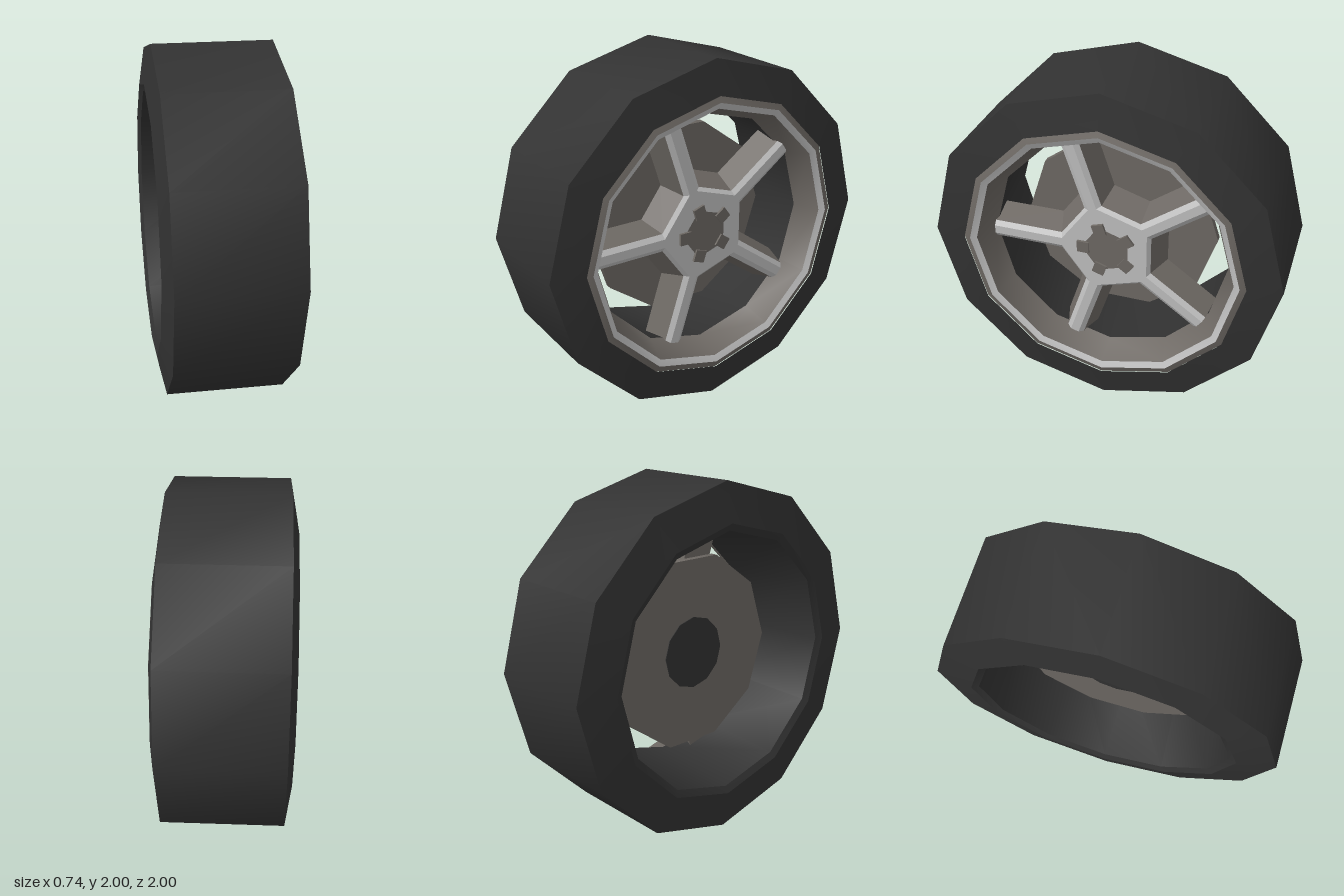
import * as THREE from 'three';
import { toCreasedNormals } from 'three/addons/utils/BufferGeometryUtils.js';

const material = (name, color) => {
  const m = new THREE.MeshStandardMaterial({ color });
  m.name = name;
  return m;
};

export function createModel() {
  const rubber = material('black rubber', 0x323232);
  const metal = material('dark metal', 0x6e6964);
  const alloy = material('bright alloy', 0xc0c0c0);

  const wheel = new THREE.Group();
  wheel.name = 'wheel';
  wheel.position.y = 1;
  const add = (name, geometry, mat) => {
    const mesh = new THREE.Mesh(geometry, mat);
    mesh.name = name;
    wheel.add(mesh);
    return mesh;
  };

  // Twelve-sided ring about the x axis; profile holds [x, radius] pairs
  const ring = (name, profile, mat) => {
    const g = new THREE.LatheGeometry(profile.map(([x, r]) => new THREE.Vector2(r, x)), 12);
    g.rotateZ(-Math.PI / 2);
    add(name, toCreasedNormals(g, 0.62), mat);
  };

  // Tyre with shoulders and the dark inside of the barrel
  ring('tyre', [[-0.35, 0.74], [-0.37, 0.78], [-0.33, 1], [0.33, 1], [0.365, 0.81]], rubber);
  ring('innerBarrel', [[0.2, 0.68], [-0.35, 0.74]], rubber);

  // Rim: outer lip, bright inner edge, sloping bowl
  ring('rimLip', [[0.355, 0.815], [0.37, 0.775]], metal);
  ring('rimEdge', [[0.37, 0.775], [0.352, 0.74]], alloy);
  ring('rimBowl', [[0.352, 0.74], [0.2, 0.68]], metal);

  // Brake disc and axle
  const drum = (name, radius, x0, x1, sides, mat) => {
    const g = new THREE.CylinderGeometry(radius, radius, x1 - x0, sides);
    g.rotateZ(-Math.PI / 2).translate((x0 + x1) / 2, 0, 0);
    add(name, g, mat);
  };
  drum('brakeDisc', 0.57, -0.07, -0.03, 10, metal);
  drum('axle', 0.21, -0.075, 0.09, 12, rubber);

  // Five-armed outline: hub edge distance, arm half width, arm length
  const star = (apothem, half, length = 0.675) => {
    const points = [];
    const a = Math.PI / 5;
    const start = (apothem - half * Math.sin(a)) / Math.cos(a);
    for (let i = 0; i < 5; i++) {
      const t = Math.PI + i * 2 * a;
      for (const [u, v] of [[start, -half], [length, -half], [length, half], [start, half]]) {
        points.push(new THREE.Vector2(u * Math.cos(t) - v * Math.sin(t), u * Math.sin(t) + v * Math.cos(t)));
      }
    }
    return points;
  };

  // Wall joining two outlines at different depths
  const wall = (name, back, x0, front, x1, mat) => {
    const pos = [];
    back.forEach((b, i) => {
      const j = (i + 1) % back.length;
      const c = back[j], f = front[i], g = front[j];
      pos.push(b.x, b.y, x0, c.x, c.y, x0, g.x, g.y, x1);
      pos.push(b.x, b.y, x0, g.x, g.y, x1, f.x, f.y, x1);
    });
    const geo = new THREE.BufferGeometry();
    geo.setAttribute('position', new THREE.Float32BufferAttribute(pos, 3));
    geo.computeVertexNormals();
    geo.rotateY(Math.PI / 2);
    add(name, geo, mat);
  };
  const cap = (name, outline, x, mat, flip = false) => {
    const g = new THREE.ShapeGeometry(new THREE.Shape(outline));
    if (flip) g.scale(-1, 1, 1).rotateY(Math.PI); // placeholder orientation handled by DoubleSide
    g.rotateY(Math.PI / 2).translate(x, 0, 0);
    add(name, g, mat);
  };

  // Spokes and hub: deep dark sides, bright bevel and face
  const base = star(0.31, 0.095), edge = star(0.25, 0.052), top = star(0.23, 0.025);
  wall('spokeSides', base, 0.08, edge, 0.225, metal);
  wall('spokeBevels', edge, 0.225, top, 0.245, alloy);
  cap('spokeFace', top, 0.245, alloy);
  const backGeo = new THREE.ShapeGeometry(new THREE.Shape(base.map((p) => new THREE.Vector2(-p.x, p.y))));
  backGeo.rotateY(-Math.PI / 2).translate(0.08, 0, 0);
  add('spokeBack', backGeo, metal);

  // Hub plate with five square nuts, one facing each spoke
  const angles = [0, 1, 2, 3, 4].map((i) => Math.PI + (i * 2 * Math.PI) / 5);
  cap('hubPlate', angles.map((t) => new THREE.Vector2(0.15 * Math.cos(t), 0.15 * Math.sin(t))), 0.249, metal);
  for (const t of angles) {
    const nut = add('wheelNut', new THREE.BoxGeometry(0.02, 0.07, 0.07), metal);
    nut.rotation.x = t;
    nut.position.set(0.25, 0.137 * Math.sin(t), -0.137 * Math.cos(t));
  }

  const model = new THREE.Group();
  model.name = 'model';
  model.add(wheel);
  return model;
}
